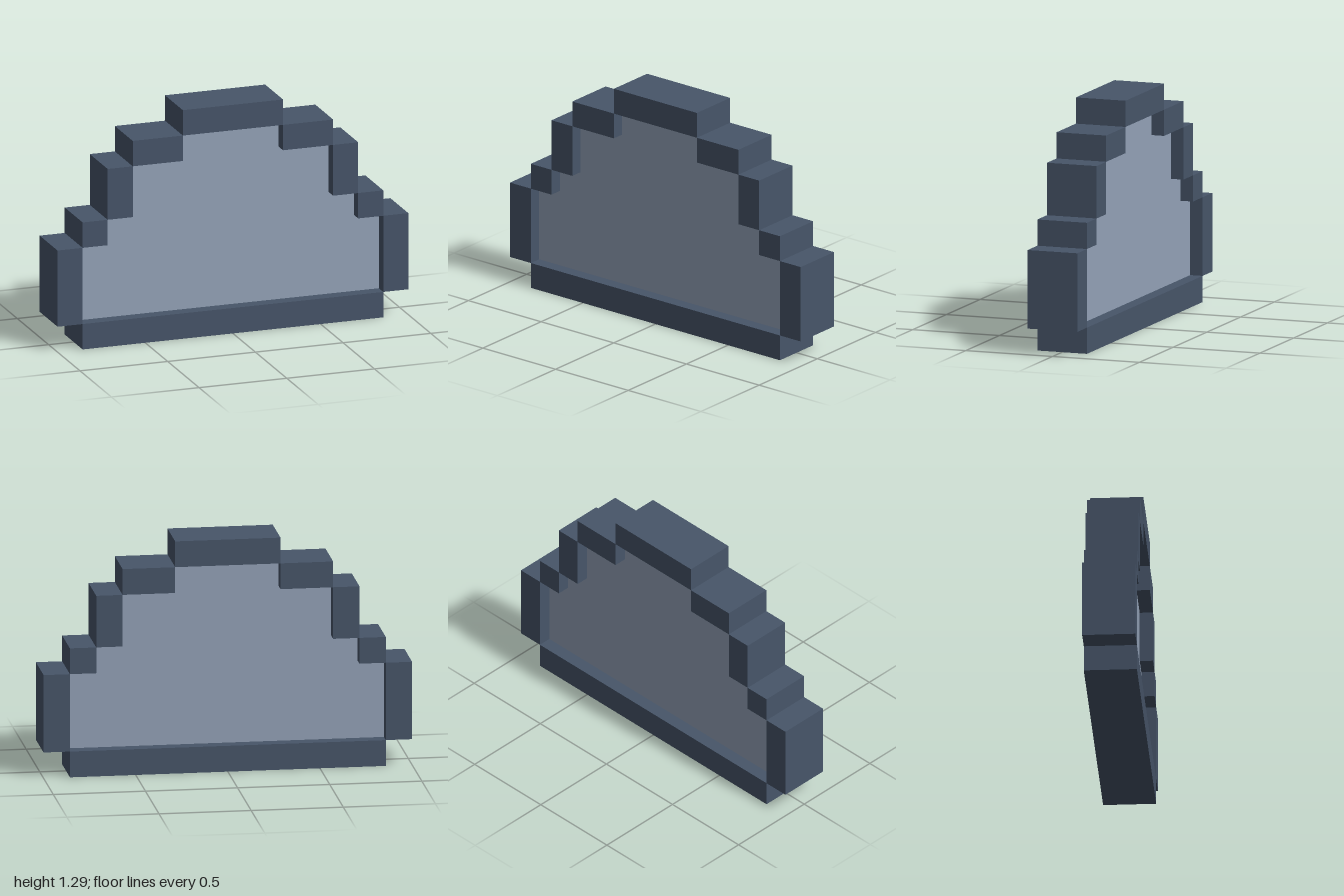
import * as THREE from 'three';

const U = 2 / 14; // one pixel of the cloud

export function createModel() {
  const group = new THREE.Group();
  const rimMaterial = new THREE.MeshStandardMaterial({ color: 0x475569 });
  const fillMaterial = new THREE.MeshStandardMaterial({ color: 0x94a3b8 });

  // Rim block spanning x0..x1, y0..y1 in pixels, two pixels deep
  const addRim = (name, x0, x1, y0, y1) => {
    const geometry = new THREE.BoxGeometry((x1 - x0) * U, (y1 - y0) * U, 2 * U);
    const mesh = new THREE.Mesh(geometry, rimMaterial);
    mesh.position.set(((x0 + x1) / 2) * U, ((y0 + y1) / 2) * U, 0);
    mesh.name = name;
    group.add(mesh);
  };

  // Flat base and top
  addRim('bottomRim', -6, 6, 0, 1);
  addRim('topRim', -2, 2, 8, 9);

  // Stepped sides, mirrored: inner x, outer x, bottom, top
  const steps = [
    [6, 7, 1, 4],
    [5, 6, 4, 5],
    [4, 5, 5, 7],
    [2, 4, 7, 8],
  ];
  steps.forEach(([x0, x1, y0, y1], i) => {
    addRim(`leftRim${i + 1}`, x0, x1, y0, y1);
    addRim(`rightRim${i + 1}`, -x1, -x0, y0, y1);
  });

  // Recessed fill, one pixel deep, following the inside of the rim
  const half = steps.flatMap(([x, , y0, y1]) => [[x, y0], [x, y1]]);
  const outline = [...half, ...half.map(([x, y]) => [-x, y]).reverse()];
  const shape = new THREE.Shape(outline.map(([x, y]) => new THREE.Vector2(x * U, y * U)));
  const fillGeometry = new THREE.ExtrudeGeometry(shape, { depth: U, bevelEnabled: false });
  fillGeometry.translate(0, 0, -U / 2);
  const fill = new THREE.Mesh(fillGeometry, fillMaterial);
  fill.name = 'cloudFill';
  group.add(fill);

  return group;
}
